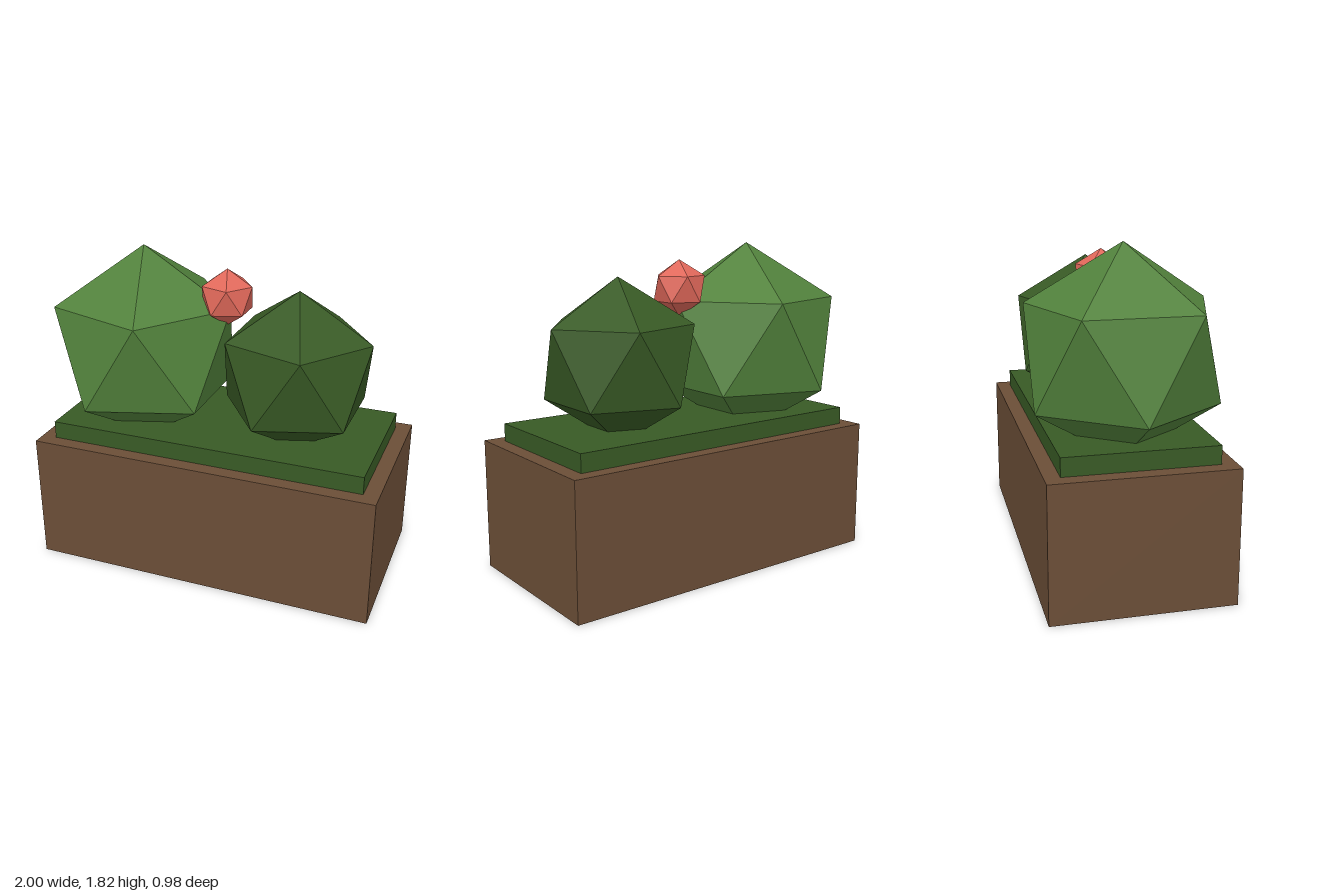
import * as THREE from 'three';

const material = (name, color) => {
  const m = new THREE.MeshStandardMaterial({ color, flatShading: true });
  m.name = name;
  return m;
};

export function createModel() {
  const model = new THREE.Group();
  model.name = 'cactusPlanter';

  const brown = material('planterBrown', 0x6b4e37);
  const darkGreen = material('darkGreen', 0x385a25);
  const lightGreen = material('lightGreen', 0x52823c);
  const coral = material('flowerCoral', 0xe0685a);

  const add = (name, geometry, mat, x, y, z = 0) => {
    const mesh = new THREE.Mesh(geometry, mat);
    mesh.name = name;
    mesh.position.set(x, y, z);
    model.add(mesh);
  };

  // Icosahedron turned to stand on a corner, with an upper corner towards +x
  const tilt = -Math.atan(2 / (1 + Math.sqrt(5)));
  const ball = (radius) => new THREE.IcosahedronGeometry(radius, 0).rotateZ(tilt);

  // Rectangular pot and the raised bed on top of it
  add('planterBox', new THREE.BoxGeometry(1.98, 0.74, 0.984), brown, 0.01, 0.37);
  add('mossBed', new THREE.BoxGeometry(1.81, 0.1, 0.82), darkGreen, 0.01, 0.79);

  // Two faceted plants and the flower between them
  add('largePlant', ball(0.576), lightGreen, -0.485, 1.24);
  add('smallPlant', ball(0.461), darkGreen, 0.42, 1.19);
  add('flower', ball(0.16), coral, 0.01, 1.57);

  return model;
}
